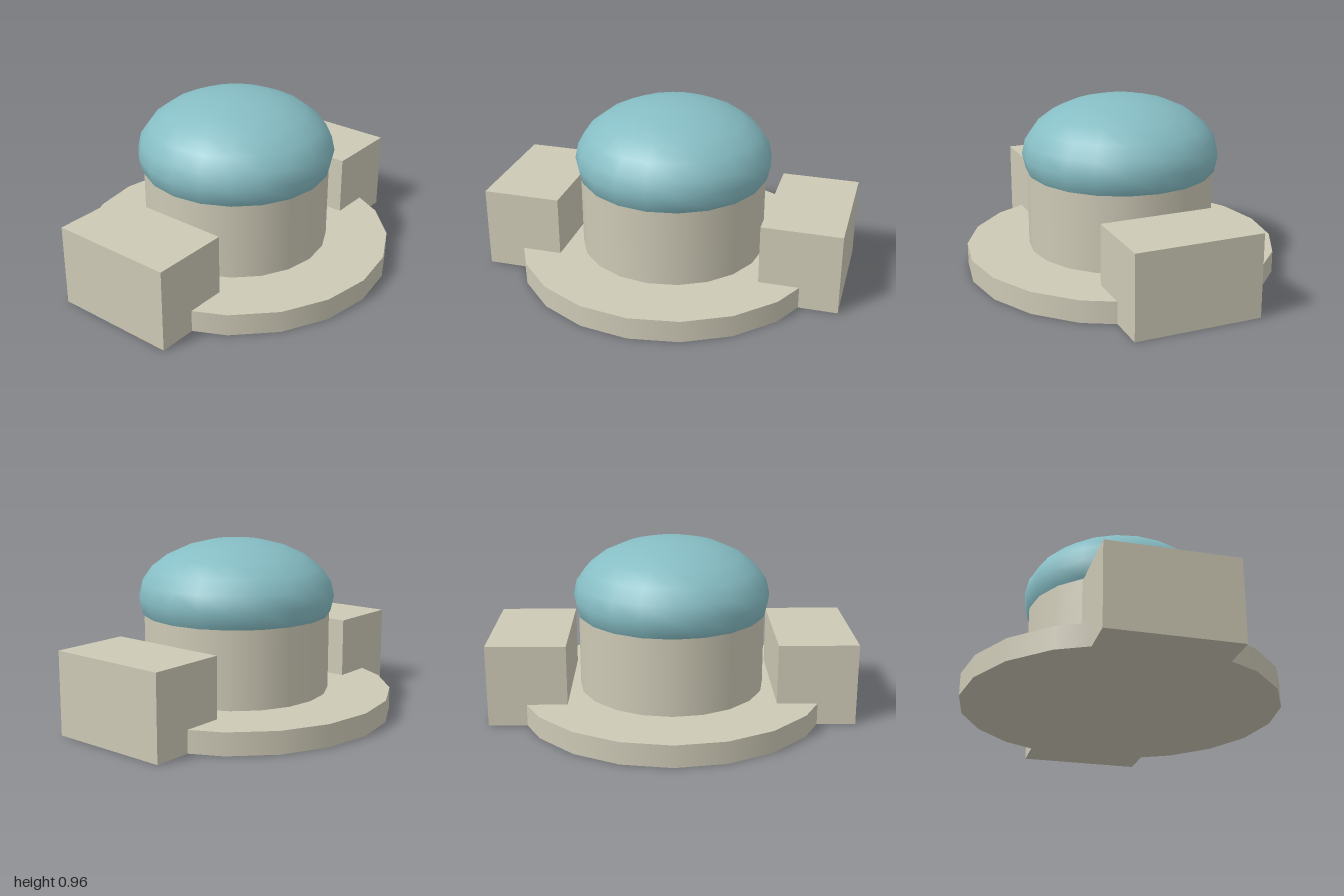
import * as THREE from 'three';

export function createModel() {
  const stone = new THREE.MeshStandardMaterial({ color: 0xcdc9b6 });
  stone.name = 'pale stone';
  const teal = new THREE.MeshStandardMaterial({ color: 0x86bdc4 });
  teal.name = 'soft teal';

  const model = new THREE.Group();
  model.name = 'domedBuilding';
  const add = (name, geometry, material, x, y) => {
    const mesh = new THREE.Mesh(geometry, material);
    mesh.name = name;
    mesh.position.set(x, y, 0);
    model.add(mesh);
  };

  // Round plinth and drum
  const sides = 20;
  add('base', new THREE.CylinderGeometry(0.87, 0.87, 0.122, sides), stone, 0, 0.061);
  add('drum', new THREE.CylinderGeometry(0.52, 0.52, 0.48, sides), stone, 0, 0.34);

  // Flattened dome, its lower part sunk into the drum
  const dome = new THREE.SphereGeometry(0.547, sides, 12).scale(1, 0.32 / 0.547, 1);
  add('dome', dome, teal, 0, 0.645);

  // Matching side blocks
  for (const [name, side] of [['leftBlock', 1], ['rightBlock', -1]]) {
    add(name, new THREE.BoxGeometry(0.433, 0.453, 0.692), stone, side * 0.7835, 0.2265);
  }
  return model;
}
